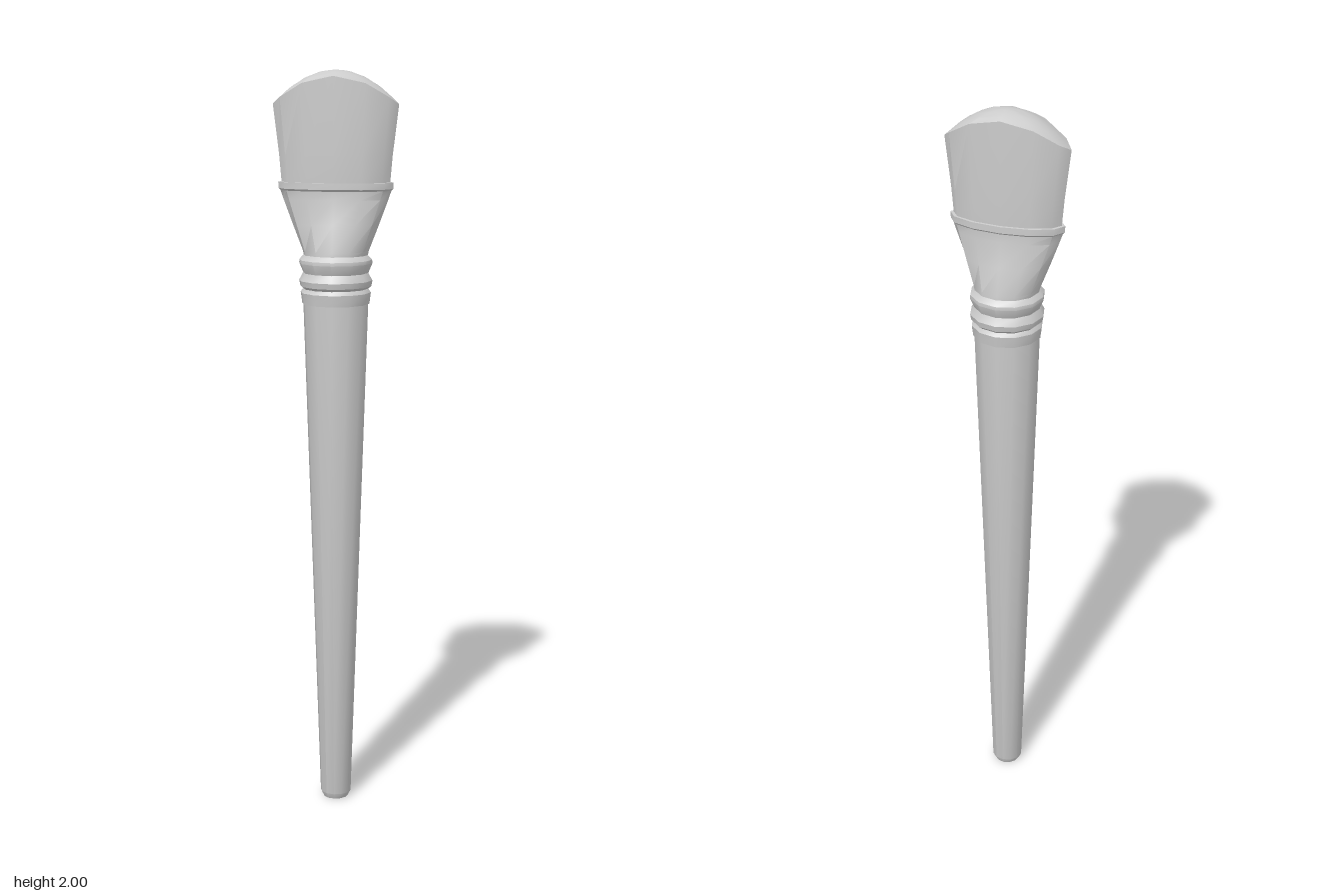
import * as THREE from 'three';
import { toCreasedNormals } from 'three/addons/utils/BufferGeometryUtils.js';

const SIDES = 12;

// Skin a stack of elliptical rings, listed bottom to top.
// Each ring is [y, rx, rz] or [heightFunction(x, z), rx, rz].
function loft(rings) {
  const pos = [], index = [];
  for (const [y, rx, rz] of rings) {
    for (let i = 0; i < SIDES; i++) {
      const a = (i / SIDES) * Math.PI * 2;
      const x = Math.sin(a) * rx, z = Math.cos(a) * rz;
      pos.push(x, typeof y === 'function' ? y(x, z) : y, z);
    }
  }
  for (let r = 0; r < rings.length - 1; r++) {
    for (let i = 0; i < SIDES; i++) {
      const a = r * SIDES + i, b = r * SIDES + (i + 1) % SIDES;
      const c = a + SIDES, d = b + SIDES;
      if (rings[r][1] > 0) index.push(a, b, d);
      if (rings[r + 1][1] > 0) index.push(a, d, c);
      else if (rings[r][1] > 0) index.splice(index.length - 3, 3, a, b, c);
    }
  }
  const geo = new THREE.BufferGeometry();
  geo.setAttribute('position', new THREE.Float32BufferAttribute(pos, 3));
  geo.setIndex(index);
  return toCreasedNormals(geo, 0.61);
}

export function createModel() {
  const group = new THREE.Group();
  const grey = new THREE.MeshStandardMaterial({ color: 0xcccccc });
  grey.name = 'plain grey';

  const add = (name, rings) => {
    const mesh = new THREE.Mesh(loft(rings), grey);
    mesh.name = name;
    group.add(mesh);
  };
  const round = (profile) => profile.map(([y, r]) => [y, r, r]);

  // Long tapering handle with a small chamfered butt
  add('handle', round([[0, 0], [0, 0.034], [0.016, 0.042], [1.39, 0.087], [1.39, 0]]));

  // Collar with two raised beads
  add('collar', round([
    [1.39, 0], [1.39, 0.09], [1.42, 0.094], [1.43, 0.087], [1.437, 0.095], [1.452, 0.098],
    [1.472, 0.087], [1.498, 0.098], [1.507, 0.097], [1.52, 0.085], [1.52, 0],
  ]));

  // Ferrule: round at the collar, flattening to a wide oval lip
  add('ferrule', [
    [1.515, 0.085, 0.085], [1.53, 0.088, 0.084], [1.6, 0.115, 0.067], [1.665, 0.139, 0.053],
    [1.688, 0.147, 0.053], [1.693, 0.152, 0.059], [1.71, 0.153, 0.059],
    [1.71, 0.14, 0.05], [1.71, 0, 0],
  ]);

  // Flat bristle head with an arched, domed tip
  const RX = 0.166, RZ = 0.056;
  const dome = (x, z) => 2 - 0.088 * (x / RX) ** 2 - 0.015 * (z / RZ) ** 2;
  add('bristles', [
    [1.70, 0.143, 0.051], [1.78, 0.15, 0.055], [dome, RX, RZ],
    ...[0.75, 0.5, 0.25, 0].map((s) => [dome, RX * s, RZ * s]),
  ]);

  return group;
}
